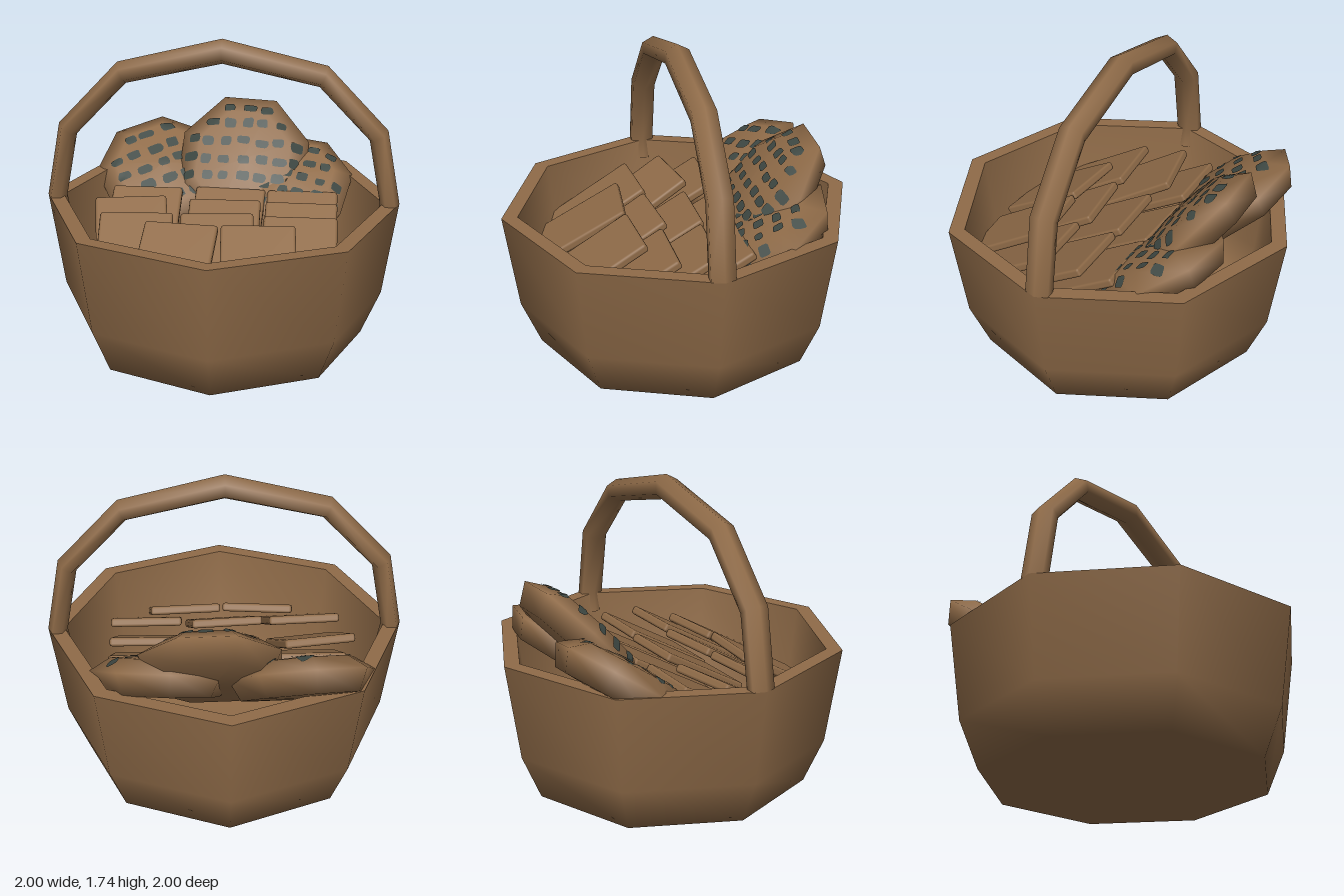
import * as THREE from 'three';
import { RoundedBoxGeometry } from 'three/addons/geometries/RoundedBoxGeometry.js';

const material = (name, color) => {
  const m = new THREE.MeshStandardMaterial({ color });
  m.name = name;
  return m;
};

export function createModel() {
  const model = new THREE.Group();
  model.name = 'breadBasket';
  const brown = material('warm brown', 0x8f6b48);
  const dark = material('dark grey green', 0x3e4843);

  let seed = 7;
  const random = () => (seed = (seed * 16807) % 2147483647) / 2147483647;

  const add = (parent, name, geometry, mat = brown) => {
    const mesh = new THREE.Mesh(geometry, mat);
    mesh.name = name;
    parent.add(mesh);
    return mesh;
  };
  const lathe = (points, start = 0) =>
    new THREE.LatheGeometry(points.map(p => new THREE.Vector2(...p)), 8, start);

  // Eight-sided bowl: outside, flat rim and inside
  add(model, 'bowlOutside', lathe([[0, 0], [0.81, 0], [0.92, 0.26], [1, 0.81]]));
  add(model, 'bowlRim', lathe([[1, 0.81], [0.91, 0.81]]));
  add(model, 'bowlInside', lathe([[0.91, 0.81], [0.85, 0.3], [0.74, 0.1], [0, 0.1]]));

  // Handle: hexagonal rings between an outer and an inner arch
  const half = [ // outer x, outer y, inner x, inner y
    [0.98, 0.7, 0.87, 0.7], [1, 0.81, 0.89, 0.81], [0.92, 1.24, 0.82, 1.18],
    [0.58, 1.6, 0.535, 1.48],
  ];
  const arch = [...half, [0, 1.74, 0, 1.6],
    ...half.map(([a, b, c, d]) => [-a, b, -c, d]).reverse()];
  const position = [], index = [];
  arch.forEach(([ox, oy, ix, iy], i) => {
    for (let k = 0; k < 6; k++) {
      const c = Math.cos(k * Math.PI / 3) / 2, s = Math.sin(k * Math.PI / 3);
      position.push((ox + ix) / 2 + (ox - ix) * c, (oy + iy) / 2 + (oy - iy) * c, 0.077 * s);
      if (i === arch.length - 1) continue;
      const a = i * 6 + k, b = i * 6 + (k + 1) % 6;
      index.push(a, a + 6, b, b, a + 6, b + 6);
    }
  });
  const handle = new THREE.BufferGeometry();
  handle.setAttribute('position', new THREE.Float32BufferAttribute(position, 3));
  // Wind the faces outwards
  for (let i = 0; i < index.length; i += 3) [index[i + 1], index[i + 2]] = [index[i + 2], index[i + 1]];
  handle.setIndex(index);
  handle.computeVertexNormals();
  const outward = handle.attributes.normal.getY(4 * 6) > 0;
  if (!outward) {
    handle.setIndex(index.slice().reverse());
    handle.computeVertexNormals();
  }
  add(model, 'handle', handle);

  // Sloping slices in overlapping rows: x, z of the upper edge, yaw
  const slope = 0.52, length = 0.57;
  const sliceGeometry = new RoundedBoxGeometry(0.41, 0.05, length, 1, 0.015);
  [
    [-0.46, -0.28, -0.02], [0.03, -0.29, -0.06], [0.45, -0.27, 0],
    [-0.54, -0.11, 0.16], [0.01, -0.1, 0], [0.45, -0.08, -0.02],
    [-0.47, 0.14, 0.06], [-0.02, 0.12, 0.08], [0.45, 0.14, 0],
    [-0.2, 0.28, -0.1], [0.22, 0.28, 0.06],
  ].forEach(([x, z, yaw]) => {
    const slice = add(model, 'slice', sliceGeometry);
    const reach = length / 2 * Math.cos(slope);
    slice.rotation.set(slope, yaw, 0, 'YXZ');
    slice.position.set(x + reach * Math.sin(yaw), 0.755 - length / 2 * Math.sin(slope), z + reach);
  });

  // Loaf: flattened eight-sided lens, with dark patches laid over its upper face
  const profile = [[0, -0.115], [0.85, -0.1], [1, 0.02], [0.72, 0.095], [0, 0.115]];
  function addLoaf(name, [x, y, z], tilt, yaw, spin, w, d, stepX, stepZ) {
    const loaf = new THREE.Group();
    loaf.name = name;
    loaf.position.set(x, y, z);
    loaf.rotation.set(tilt, yaw, 0, 'YXZ');
    const spun = new THREE.Group();
    spun.name = name + 'Body';
    spun.rotation.y = spin;
    loaf.add(spun);
    model.add(loaf);
    add(spun, 'crust', lathe(profile, Math.PI / 8).scale(w, 1, d));

    // Distance from the middle in octagon units, and surface height there
    const ring = (px, pz) => {
      let r = 0;
      for (let k = 0; k < 8; k++) {
        const a = k * Math.PI / 4;
        r = Math.max(r, (px / w) * Math.sin(a) + (pz / d) * Math.cos(a));
      }
      return r / Math.cos(Math.PI / 8);
    };
    const height = (px, pz) => {
      const r = ring(px, pz);
      return r < 0.72 ? 0.115 - 0.02 * r / 0.72 : 0.095 - 0.075 * (r - 0.72) / 0.28;
    };
    const pos = [], idx = [], n = 10;
    for (let i = -4; i <= 4; i++) for (let j = -4; j <= 4; j++) {
      const cx = (i + 0.25 * (random() - 0.5)) * stepX;
      const cz = (j + 0.2 * (random() - 0.5)) * stepZ;
      const a = stepX * (0.27 + 0.13 * random()), b = stepZ * (0.22 + 0.08 * random());
      if (ring(cx, cz) > 0.84) continue;
      const base = pos.length / 3;
      const put = (px, pz) => pos.push(px, height(px, pz) + 0.007, pz);
      put(cx, cz);
      for (let k = 0; k < n; k++) {
        const t = k / n * Math.PI * 2, c = Math.cos(t), s = Math.sin(t);
        const wobble = 0.9 + 0.2 * random();
        put(cx + a * wobble * Math.sign(c) * Math.sqrt(Math.abs(c)),
          cz + b * wobble * Math.sign(s) * Math.sqrt(Math.abs(s)));
        idx.push(base, base + 1 + (k + 1) % n, base + 1 + k);
      }
    }
    const patches = new THREE.BufferGeometry();
    patches.setAttribute('position', new THREE.Float32BufferAttribute(pos, 3));
    patches.setIndex(idx);
    patches.computeVertexNormals();
    add(spun, 'crustPatches', patches, dark);
  }
  addLoaf('middleLoaf', [0.09, 0.84, -0.48], 0.86, 0, -0.06, 0.41, 0.47, 0.105, 0.115);
  addLoaf('rightLoaf', [-0.4, 0.77, -0.51], 0.62, 0.1, 0.4, 0.4, 0.42, 0.125, 0.12);
  addLoaf('leftLoaf', [0.36, 0.74, -0.42], 0.54, -0.1, -0.15, 0.39, 0.4, 0.1, 0.11);

  return model;
}
